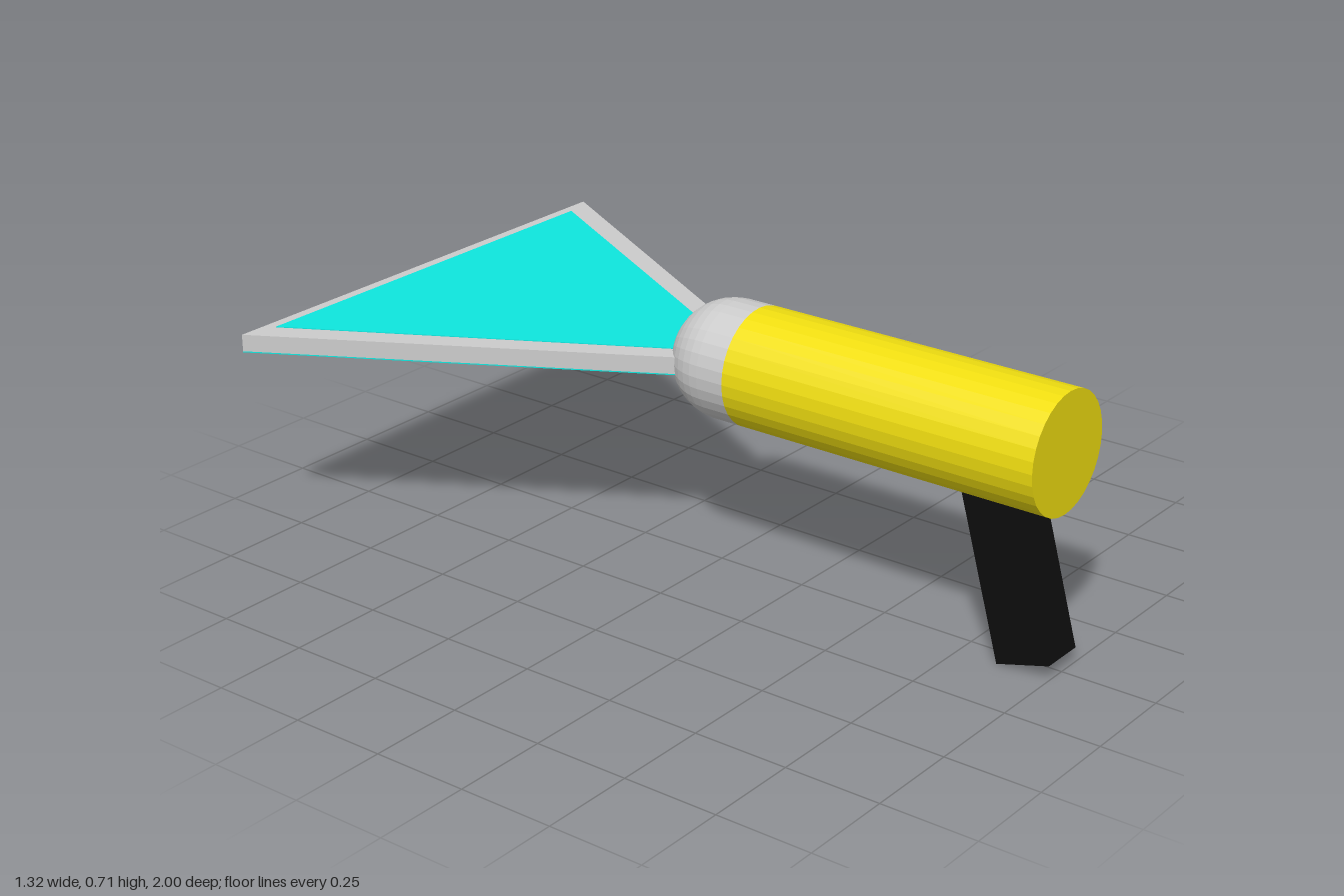
import * as THREE from 'three';

const AXIS_Y = 0.553; // height of the barrel axis
const RADIUS = 0.153;

function material(color, extra = {}) {
  return new THREE.MeshStandardMaterial({ color, ...extra });
}

// Triangle in plan (wide edge at the back), lying flat
function triangleShape(halfWidth, backZ, apexZ) {
  const shape = new THREE.Shape();
  shape.moveTo(-halfWidth, backZ);
  shape.lineTo(halfWidth, backZ);
  shape.lineTo(0, apexZ);
  shape.closePath();
  return shape;
}

// Prism between two heights; shape y becomes z
function plate(name, shape, bottom, top, mat) {
  const geometry = new THREE.ExtrudeGeometry(shape, { depth: top - bottom, bevelEnabled: false });
  geometry.rotateX(Math.PI / 2);
  const mesh = new THREE.Mesh(geometry, mat);
  mesh.position.y = top;
  mesh.name = name;
  return mesh;
}

export function createModel() {
  const model = new THREE.Group();
  model.name = 'handheldBlower';
  const grey = material(0xcccccc, { flatShading: true });
  const yellow = material(0xf0de10, { flatShading: true });
  const black = material(0x0d0d0d);
  const teal = material(0x0ee6de);

  // Barrel
  const barrelGeo = new THREE.CylinderGeometry(RADIUS, RADIUS, 0.87, 32);
  barrelGeo.rotateX(Math.PI / 2);
  const barrel = new THREE.Mesh(barrelGeo, yellow);
  barrel.position.set(0, AXIS_Y, 0.55);
  barrel.name = 'barrel';
  model.add(barrel);

  // Rounded nose: half circle profile with a short straight collar
  const profile = [];
  const steps = 10;
  for (let i = 0; i <= steps; i++) {
    const a = (i / steps) * Math.PI / 2;
    profile.push(new THREE.Vector2(RADIUS * Math.cos(a), RADIUS * Math.sin(a)));
  }
  profile.unshift(new THREE.Vector2(RADIUS, -0.077));
  const noseGeo = new THREE.LatheGeometry(profile, 32);
  noseGeo.rotateX(-Math.PI / 2);
  const nose = new THREE.Mesh(noseGeo, grey);
  nose.position.set(0, AXIS_Y, 0.038);
  nose.name = 'nose';
  model.add(nose);

  // Slanted grip, pivoting at the middle of its lower end
  const gripGeo = new THREE.BoxGeometry(0.12, 0.46, 0.147);
  gripGeo.translate(0, 0.23, 0);
  const grip = new THREE.Mesh(gripGeo, black);
  grip.position.set(0, 0.02, 0.929);
  grip.rotation.x = -0.268;
  grip.name = 'grip';
  model.add(grip);

  // Triangular fan: frame, inset top panel and full underside panel
  const outer = triangleShape(0.658, -1, 0.165);
  model.add(plate('fanFrame', outer, 0.531, 0.575, grey));
  model.add(plate('fanTopPanel', triangleShape(0.57, -0.97, 0.055), 0.56, 0.577, teal));
  model.add(plate('fanUnderside', outer, 0.528, 0.531, teal));

  return model;
}
